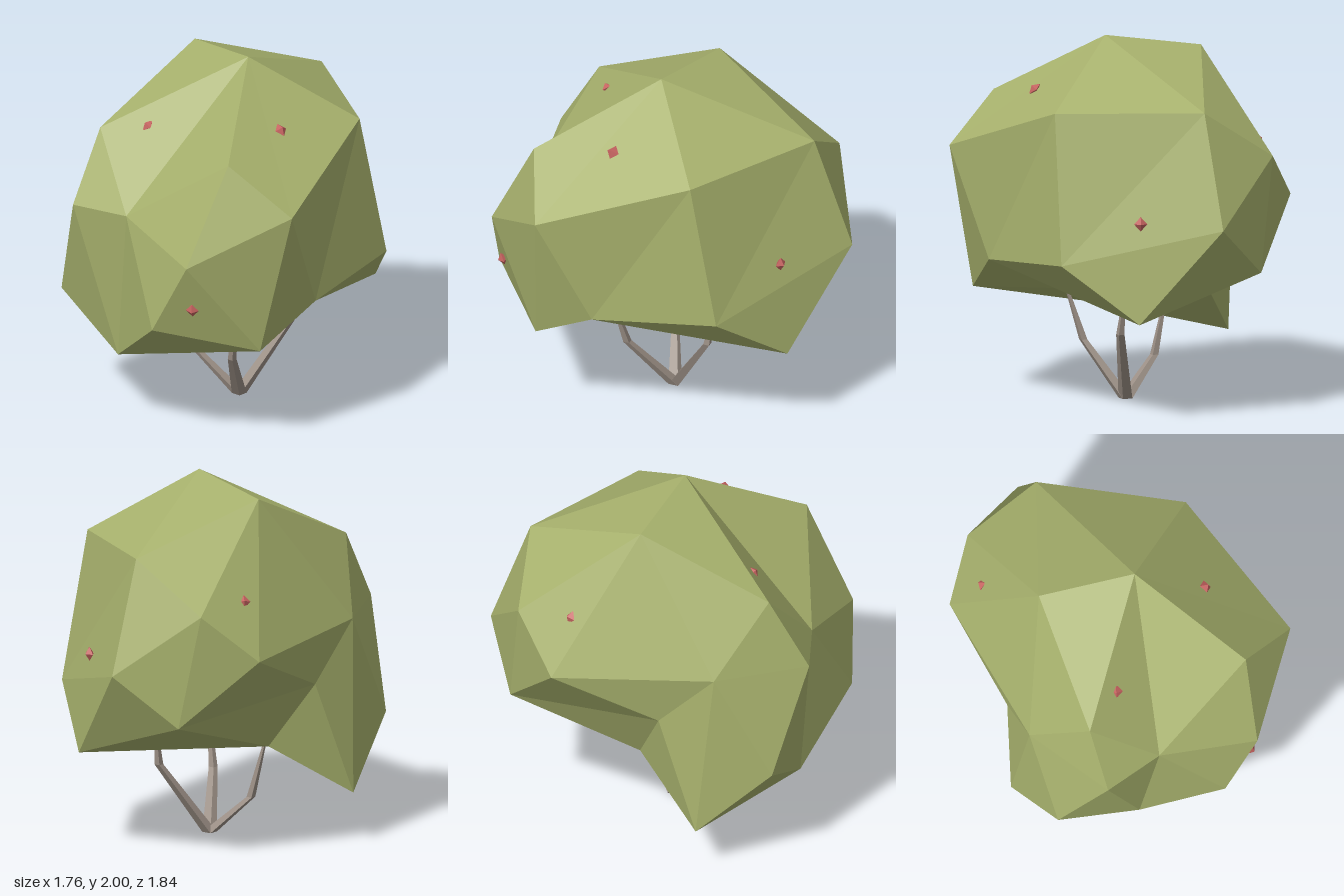
import * as THREE from 'three';

// Corner points of the faceted foliage, one letter each
const CORNERS = {
  A: [0.13, 2.0, 0.08], B: [0.73, 1.66, 0.16], C: [0.33, 1.38, 0.905], D: [-0.01, 1.64, 0.77],
  E: [0.88, 0.85, 0.07], F: [0.47, 0.79, 0.63], G: [0.84, 0.545, -0.365], H: [0.16, 0.58, 0.83],
  I: [-0.245, 1.1, 0.92], J: [-0.55, 1.235, 0.465], K: [-0.425, 0.7, 0.8], L: [-0.59, 0.39, 0.365],
  M: [-0.66, 0.275, -0.35], N: [-0.88, 0.64, 0], O: [-0.83, 1.23, 0.27], P: [-0.675, 1.615, 0.11],
  Q: [-0.14, 1.93, -0.375], R: [0.56, 1.68, -0.64], S: [0.24, 1.41, -0.92], T: [0.36, 0.785, -0.895],
  U: [0.71, 1.065, -0.8], V: [-0.08, 1.15, -0.91], W: [-0.67, 1.22, -0.24], X: [-0.19, 0.56, -0.41],
  Y: [-0.44, 0.91, -0.45],
};

// Facets as fans: a hub corner followed by its neighbours in order
const FANS = [
  'ADCBRQPJD', // crown
  'CDIHFB',    // front
  'EFGURBF',   // left side
  'SQRUTVQ',   // back
  'JPOLKID',   // right front
  'WVYMNOPQV', // right back
  'XYTGFHLMY', // underside
  'TUG', 'TYV', 'LONM', 'HIKL',
];

function createFoliage(material) {
  const positions = [];
  for (const [hub, ...ring] of FANS) {
    for (let i = 0; i < ring.length - 1; i++) {
      positions.push(...CORNERS[hub], ...CORNERS[ring[i]], ...CORNERS[ring[i + 1]]);
    }
  }
  const geometry = new THREE.BufferGeometry();
  geometry.setAttribute('position', new THREE.Float32BufferAttribute(positions, 3));
  geometry.computeVertexNormals();
  const mesh = new THREE.Mesh(geometry, material);
  mesh.name = 'foliage';
  return mesh;
}

// Tapered four-sided stem: rows of a cylinder are moved onto base, bend and tip
function createStem(path, material) {
  const radii = [0.04, 0.024, 0.007];
  const geometry = new THREE.CylinderGeometry(1, 1, 2, 4, 2);
  const pos = geometry.attributes.position;
  for (let i = 0; i < pos.count; i++) {
    const row = Math.round(pos.getY(i)) + 1;
    const [x, y, z] = path[row];
    pos.setXYZ(i, x + pos.getX(i) * radii[row], y, z + pos.getZ(i) * radii[row]);
  }
  geometry.computeVertexNormals();
  const mesh = new THREE.Mesh(geometry, material);
  mesh.name = 'stem';
  return mesh;
}

export function createModel() {
  const model = new THREE.Group();
  model.name = 'berryBush';
  const paint = (color) => new THREE.MeshStandardMaterial({ color, flatShading: true });
  const leafGreen = paint(0xa6b06c);
  const bark = paint(0x9c9086);
  const berryRed = paint(0xc4625f);

  model.add(createFoliage(leafGreen));

  // Three stems spreading from one foot: bend, then tip
  const foot = [0.085, 0, -0.02];
  const stems = [
    [[-0.13, 0.21, -0.11], [-0.21, 0.56, -0.155]],
    [[0.035, 0.3, 0.24], [0.05, 0.64, 0.35]],
    [[0.37, 0.4, -0.09], [0.39, 0.62, -0.12]],
  ];
  for (const [bend, tip] of stems) model.add(createStem([foot, bend, tip], bark));

  // Berries: small flattened octahedra set into the foliage, facing outward
  const berries = [
    [-0.42, 1.645, 0.17], [0.29, 1.71, 0.43], [-0.21, 0.84, 0.87],
    [0.78, 1.09, -0.35], [-0.015, 1.45, -0.745], [-0.665, 0.65, -0.265],
  ];
  const berryGeometry = new THREE.OctahedronGeometry(0.04).scale(0.9, 1, 0.65);
  for (const [x, y, z] of berries) {
    const berry = new THREE.Mesh(berryGeometry, berryRed);
    berry.name = 'berry';
    berry.position.set(x, y, z);
    berry.lookAt(x * 2, y * 2 - 1.1, z * 2);
    model.add(berry);
  }
  return model;
}
